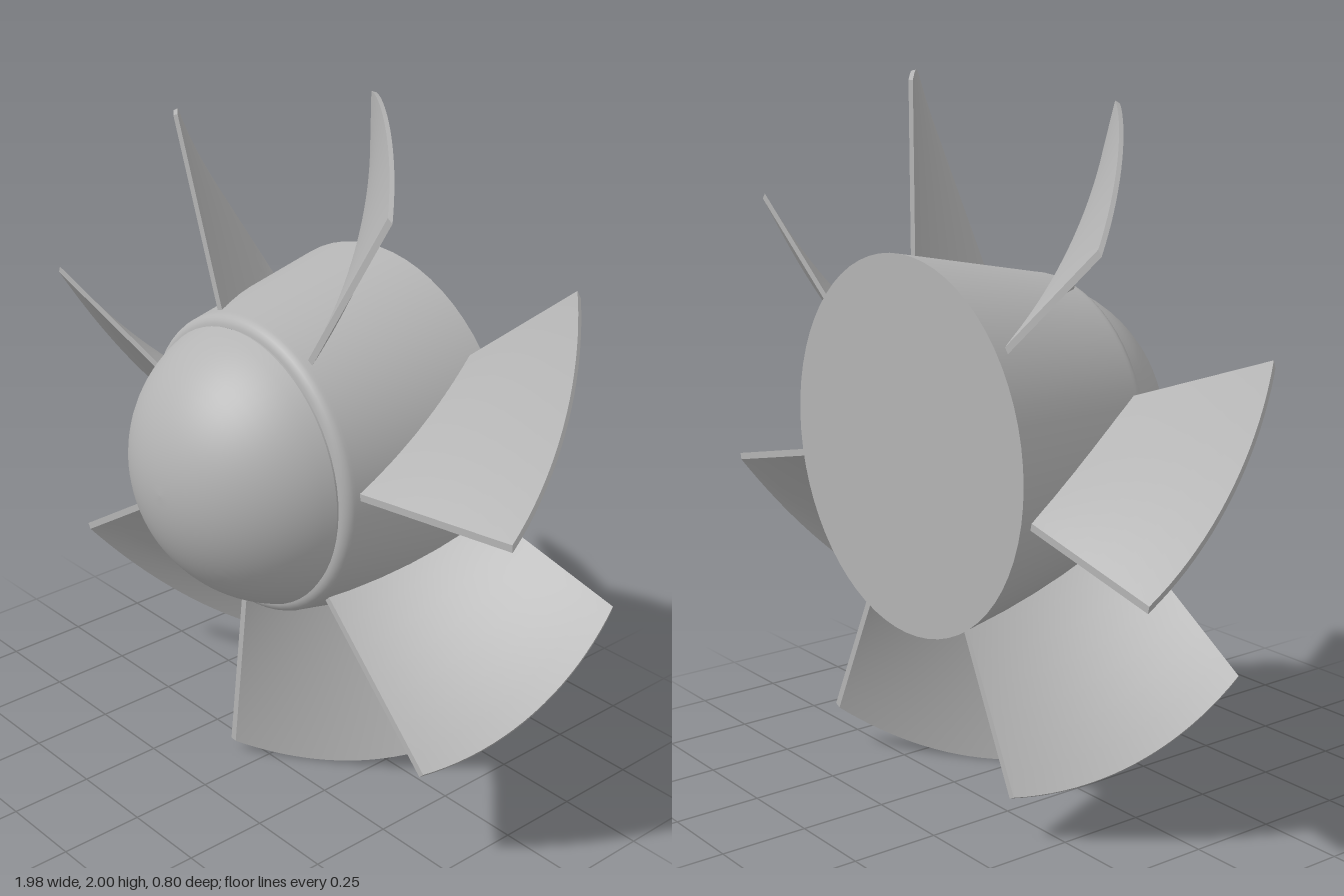
import * as THREE from 'three';

const BLADES = 7;
const TWIST = THREE.MathUtils.degToRad(31.8);
const Z_BACK = -0.36, Z_FRONT = 0.065;
const ROOT = 0.38, THICKNESS = 0.02;

// Helical blade: a box whose x is thickness, y is radius and z is depth
function bladeGeometry() {
  const geo = new THREE.BoxGeometry(1, 1, 1, 1, 8, 20);
  const p = geo.attributes.position;
  for (let i = 0; i < p.count; i++) {
    const s = p.getX(i) * THICKNESS;
    const v = p.getY(i) + 0.5;
    const w = p.getZ(i) + 0.5;
    const u = 2 * w - 1;
    const tip = 0.975 + 0.035 * (1 - u * u); // bowed tip
    const r = THREE.MathUtils.lerp(ROOT, tip, v);
    const a = w * TWIST;
    p.setXYZ(i,
      r * Math.sin(a) + s * Math.cos(a),
      r * Math.cos(a) - s * Math.sin(a),
      THREE.MathUtils.lerp(Z_BACK, Z_FRONT, w));
  }
  geo.computeVertexNormals();
  return geo;
}

// Surface of revolution around z from [radius, z] points, listed back to front
function turned(points) {
  const geo = new THREE.LatheGeometry(points.map(([r, z]) => new THREE.Vector2(r, z)), 64);
  return geo.rotateX(Math.PI / 2);
}

export function createModel() {
  const model = new THREE.Group();
  model.name = 'fanRotor';
  const metal = new THREE.MeshStandardMaterial({ color: 0xb4b4b4 });
  metal.name = 'grey metal';

  const rotor = new THREE.Group();
  rotor.name = 'rotor';
  rotor.position.set(0.012, 1.005, 0);
  model.add(rotor);

  const add = (name, geo) => {
    const mesh = new THREE.Mesh(geo, metal);
    mesh.name = name;
    rotor.add(mesh);
    return mesh;
  };

  // Tapered hub with a rounded front lip
  const hub = [[0.525, -0.4], [0.478, -0.16], [0.432, 0.075]];
  for (let i = 1; i <= 6; i++) {
    const a = (i / 6) * Math.PI / 2;
    hub.push([0.397 + 0.035 * Math.cos(a), 0.075 + 0.035 * Math.sin(a)]);
  }
  add('hub', turned(hub));
  add('hubBack', new THREE.CircleGeometry(0.525, 64).rotateY(Math.PI)).position.z = -0.4;

  // Narrow groove between hub and nose
  add('grooveNeck', turned([[0.392, 0.1], [0.392, 0.125]]));

  // Domed nose: a spherical cap
  const R = 0.426, zc = -0.028, start = Math.asin((0.118 - zc) / R);
  const dome = [];
  for (let i = 0; i <= 14; i++) {
    const a = THREE.MathUtils.lerp(start, Math.PI / 2, i / 14);
    dome.push([Math.max(0, R * Math.cos(a)), zc + R * Math.sin(a)]);
  }
  add('nose', turned(dome));

  // Blades
  const blade = bladeGeometry();
  for (let i = 0; i < BLADES; i++) {
    add('blade' + (i + 1), blade).rotation.z = -i * 2 * Math.PI / BLADES;
  }
  return model;
}
